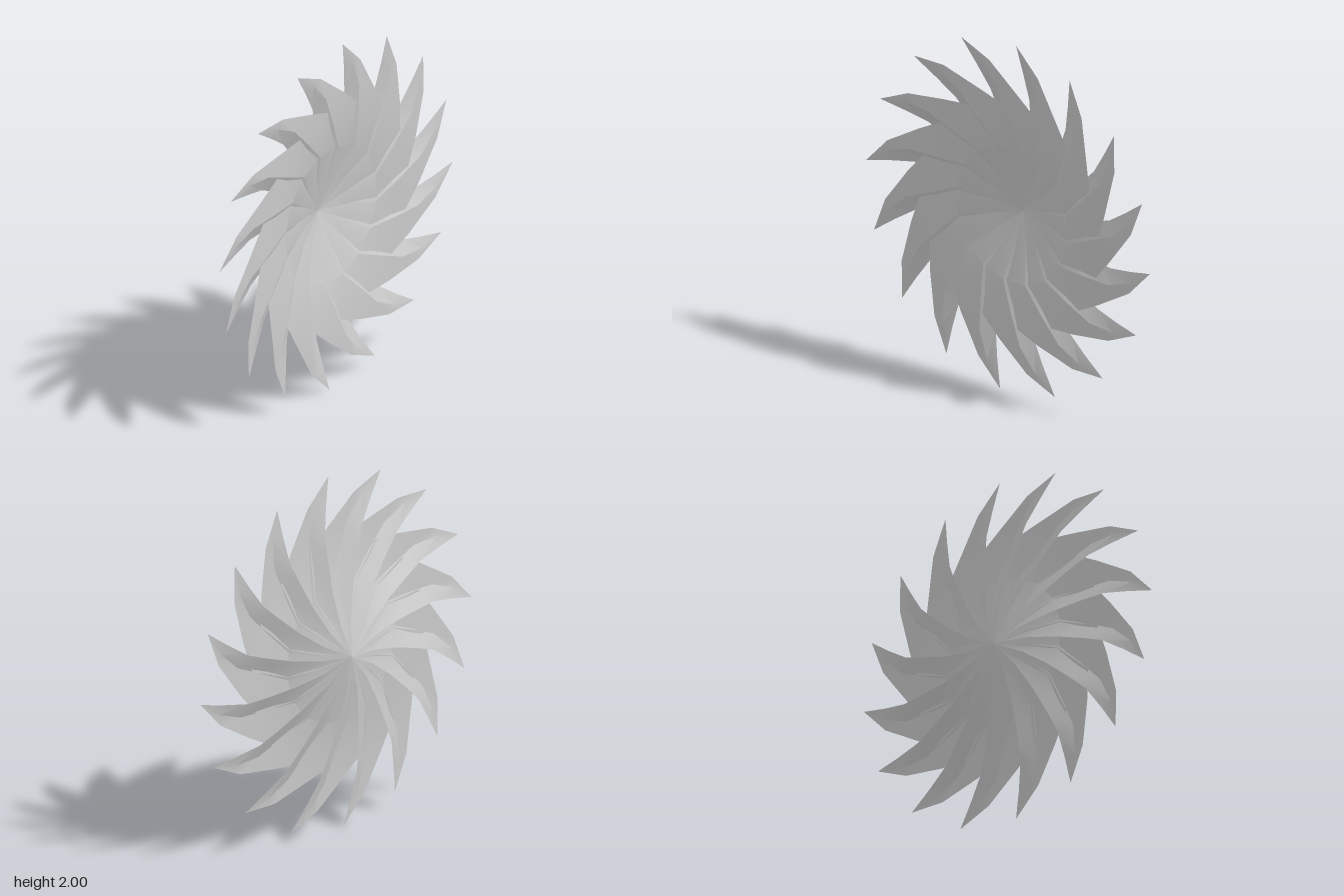
import * as THREE from 'three';
import { toCreasedNormals } from 'three/addons/utils/BufferGeometryUtils.js';

const BLADES = 16;
const APEX_Z = -0.062, TIP_Z = 0.06;

// Each line runs from the hub to the tip: [radius, degrees from the tip, z]
const rearEdge = [[0.2, -15, -0.038], [0.39, -11, -0.013], [0.58, -8, 0.008], [0.7, -6.5, 0.023], [0.845, -3, 0.042]];
const ridge = [[0.2, -29, -0.025], [0.39, -28, 0.03], [0.557, -18, 0.05], [0.73, -12.7, 0.06], [0.87, -6.5, 0.06]];
const frontEdge = [[0.2, -50, -0.028], [0.39, -48.5, 0.024], [0.63, -38, 0.048], [0.714, -24.8, 0.058], [0.875, -10.6, 0.06]];

// A folded sheet: steep wall from rear edge to ridge, shallow face from ridge to front edge
function bladeGeometry() {
  const lines = [rearEdge, ridge, frontEdge].map((line) =>
    [[0, 0, APEX_Z], ...line, [1, 0, TIP_Z]].map(([r, deg, z]) => {
      const a = THREE.MathUtils.degToRad(deg);
      return new THREE.Vector3(r * Math.cos(a), r * Math.sin(a), z);
    }));
  const points = [];
  const last = lines[0].length - 1;
  for (let s = 0; s < 2; s++) {
    const p = lines[s], q = lines[s + 1];
    for (let i = 0; i < last; i++) {
      if (i > 0) points.push(p[i], q[i], q[i + 1]);
      if (i < last - 1) points.push(p[i], q[i + 1], p[i + 1]);
      // the last row closes on the tip with the triangle above
    }
  }
  const geometry = new THREE.BufferGeometry().setFromPoints(points);
  return toCreasedNormals(geometry, THREE.MathUtils.degToRad(18));
}

export function createModel() {
  const model = new THREE.Group();
  model.name = 'pinwheel';
  const material = new THREE.MeshStandardMaterial({ color: 0xcccccc, side: THREE.DoubleSide });
  const geometry = bladeGeometry();

  // Ring of overlapping blades around the hub
  for (let i = 0; i < BLADES; i++) {
    const blade = new THREE.Mesh(geometry, material);
    blade.name = `blade${i + 1}`;
    blade.position.y = 1;
    blade.rotation.z = THREE.MathUtils.degToRad(-3.2) + (i * 2 * Math.PI) / BLADES;
    model.add(blade);
  }
  return model;
}
